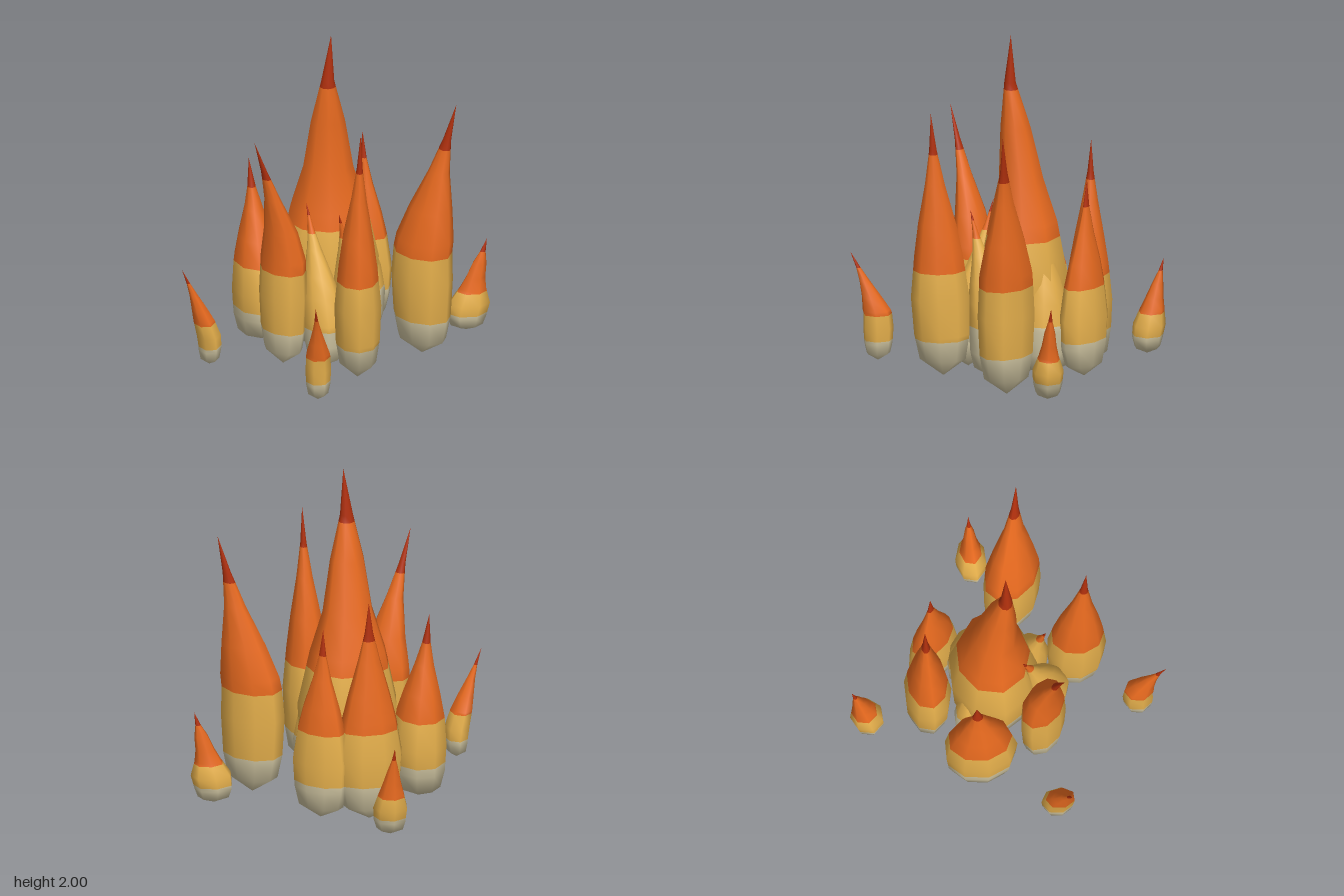
import * as THREE from 'three';

const mat = (name, color) => {
  const m = new THREE.MeshStandardMaterial({ color });
  m.name = name;
  return m;
};
// Bottom-to-top colour bands
const bands = [
  mat('ash cream', 0xd2c7a3),
  mat('ember yellow', 0xe6b04c),
  mat('flame orange', 0xe86a1f),
  mat('tip red', 0xb0300d),
];

const DIAGONAL = Math.PI / 4;

// Relative height and width of a tongue, with adjustable shoulder and neck
const makeProfile = (shoulder, neck) => [
  [0, 0], [0.065, 0.78], [0.16, 0.94], [0.3, 1], [0.46, shoulder],
  [0.58, neck], [0.73, 0.34], [0.86, 0.13], [1, 0],
];

function widthAt(profile, t) {
  const i = Math.max(1, profile.findIndex(p => p[0] >= t));
  const [t0, r0] = profile[i - 1], [t1, r1] = profile[i];
  return r0 + (r1 - r0) * (t - t0) / (t1 - t0);
}

// One tongue: base [x, y, z], tip [x, y, z], half widths, band heights [yellow, orange, red];
// an optional via point bends the spine between base and tip
function flame(name, base, tip, radii, cuts, { turn = 0, bend = 0.3, shoulder = 0.87, neck = 0.65, sides = 9, via = null } = {}) {
  const height = tip[1] - base[1];
  const profile = makeProfile(shoulder, neck);
  const cutTs = cuts.map(y => (y - base[1]) / height);
  const ts = profile.map(p => p[0]).filter(t => cutTs.every(c => Math.abs(c - t) > 0.015));
  const rings = [...ts, ...cutTs].sort((a, b) => a - b);
  const position = [], index = [];
  const c = Math.cos(turn), s = Math.sin(turn);
  const viaT = via ? (via[1] - base[1]) / height : 1;
  const bendTo = via || tip;
  rings.forEach(t => {
    // The body stands upright, leans over, then may hook towards the tip
    const lean = Math.pow(Math.max(0, (Math.min(t, viaT) - bend) / (viaT - bend)), 1.2);
    const hook = t > viaT ? (t - viaT) / (1 - viaT) : 0;
    const [cx, cz] = [0, 2].map(k => base[k] + (bendTo[k] - base[k]) * lean + (tip[k] - bendTo[k]) * hook);
    const w = widthAt(profile, t);
    for (let i = 0; i < sides; i++) {
      const a = 0.2 + i / sides * Math.PI * 2;
      const u = Math.cos(a) * radii[0] * w, v = Math.sin(a) * radii[1] * w;
      position.push(cx + u * c - v * s, base[1] + height * t, cz + u * s + v * c);
    }
  });
  const geo = new THREE.BufferGeometry();
  let start = 0, band = 0;
  for (let j = 0; j < rings.length - 1; j++) {
    if (band < 3 && rings[j] >= cutTs[band] - 1e-6) {
      geo.addGroup(start, index.length - start, band++);
      start = index.length;
    }
    for (let i = 0; i < sides; i++) {
      const p = j * sides + i, q = j * sides + (i + 1) % sides;
      if (j < rings.length - 2) index.push(p, p + sides, q + sides);
      else index.push(p, p + sides, q);
      if (j > 0 && j < rings.length - 2) index.push(p, q + sides, q);
    }
  }
  geo.addGroup(start, index.length - start, band);
  geo.setAttribute('position', new THREE.Float32BufferAttribute(position, 3));
  geo.setIndex(index);
  geo.computeVertexNormals();
  const mesh = new THREE.Mesh(geo, bands);
  mesh.name = name;
  return mesh;
}

export function createModel() {
  const fire = new THREE.Group();
  fire.name = 'campfire flames';
  const add = (...args) => fire.add(flame(...args));

  // Tall core
  add('coreFlame', [0.085, 0, -0.01], [0.04, 2, 0.05], [0.29, 0.255], [0.35, 0.83, 1.68],
    { turn: DIAGONAL, shoulder: 0.76, neck: 0.5, bend: 0.5, via: [0.015, 1.82, 0.045] });

  // Ring of large tongues
  add('frontLeftFlame', [0.33, 0.04, 0.475], [0.43, 1.6, 0.645], [0.145, 0.195], [0.28, 0.68, 1.32], { shoulder: 0.93, neck: 0.7, bend: 0.38 });
  add('frontRightFlame', [-0.165, 0.05, 0.41], [-0.21, 1.59, 0.47], [0.135, 0.17], [0.27, 0.67, 1.35],
    { turn: DIAGONAL, bend: 0, shoulder: 0.83, via: [-0.19, 0.9, 0.43] });
  add('rightFlame', [-0.29, 0.05, -0.03], [-0.485, 1.48, -0.08], [0.11, 0.155], [0.27, 0.64, 1.23], { shoulder: 0.93, neck: 0.7, bend: 0.52 });
  add('backRightFlame', [-0.1, 0.04, -0.36], [-0.12, 1.15, -0.42], [0.16, 0.21], [0.27, 0.54, 0.98], { turn: DIAGONAL });
  add('backLeftFlame', [0.33, 0.04, -0.295], [0.345, 1.36, -0.3], [0.195, 0.135], [0.27, 0.59, 1.13], { turn: DIAGONAL, shoulder: 0.82, neck: 0.62 });
  add('leftFlame', [0.475, 0.05, -0.06], [0.48, 1.2, -0.08], [0.11, 0.18], [0.27, 0.58, 1.04], { shoulder: 0.84 });

  // Short tongues packed around the core
  add('innerFrontFlame', [0.04, 0.03, 0.22], [-0.11, 0.99, 0.23], [0.135, 0.14], [0.34, 0.83, 0.93]);
  add('innerRightFlame', [-0.17, 0.05, 0.17], [-0.12, 1.0, 0.0], [0.11, 0.13], [0.3, 0.83, 0.93]);
  add('innerLeftFlame', [0.285, 0.04, 0.05], [0.26, 1.0, 0.04], [0.135, 0.16], [0.36, 0.93, 0.97]);
  add('innerBackFlame', [0.08, 0.04, -0.2], [0.1, 0.85, -0.15], [0.1, 0.12], [0.36, 0.74, 0.8]);

  // Small stray tongues at the corners
  const stray = { turn: DIAGONAL, sides: 7 };
  add('strayBackRight', [-0.61, 0.08, -0.305], [-0.77, 0.7, -0.375], [0.07, 0.095], [0.2, 0.35, 0.61], { ...stray, bend: 0.25 });
  add('strayFrontRight', [-0.585, 0.08, 0.465], [-0.715, 0.715, 0.555], [0.075, 0.088], [0.2, 0.35, 0.62], { ...stray, shoulder: 0.93, bend: 0.4 });
  add('strayFrontLeft', [0.66, 0.08, 0.53], [0.745, 0.64, 0.61], [0.12, 0.09], [0.19, 0.32, 0.56], { ...stray, shoulder: 0.65, neck: 0.47, bend: 0.15 });
  add('strayBackLeft', [0.545, 0.08, -0.56], [0.61, 0.635, -0.63], [0.1, 0.095], [0.19, 0.32, 0.56], { ...stray, shoulder: 0.75, neck: 0.55, bend: 0.15 });
  return fire;
}
